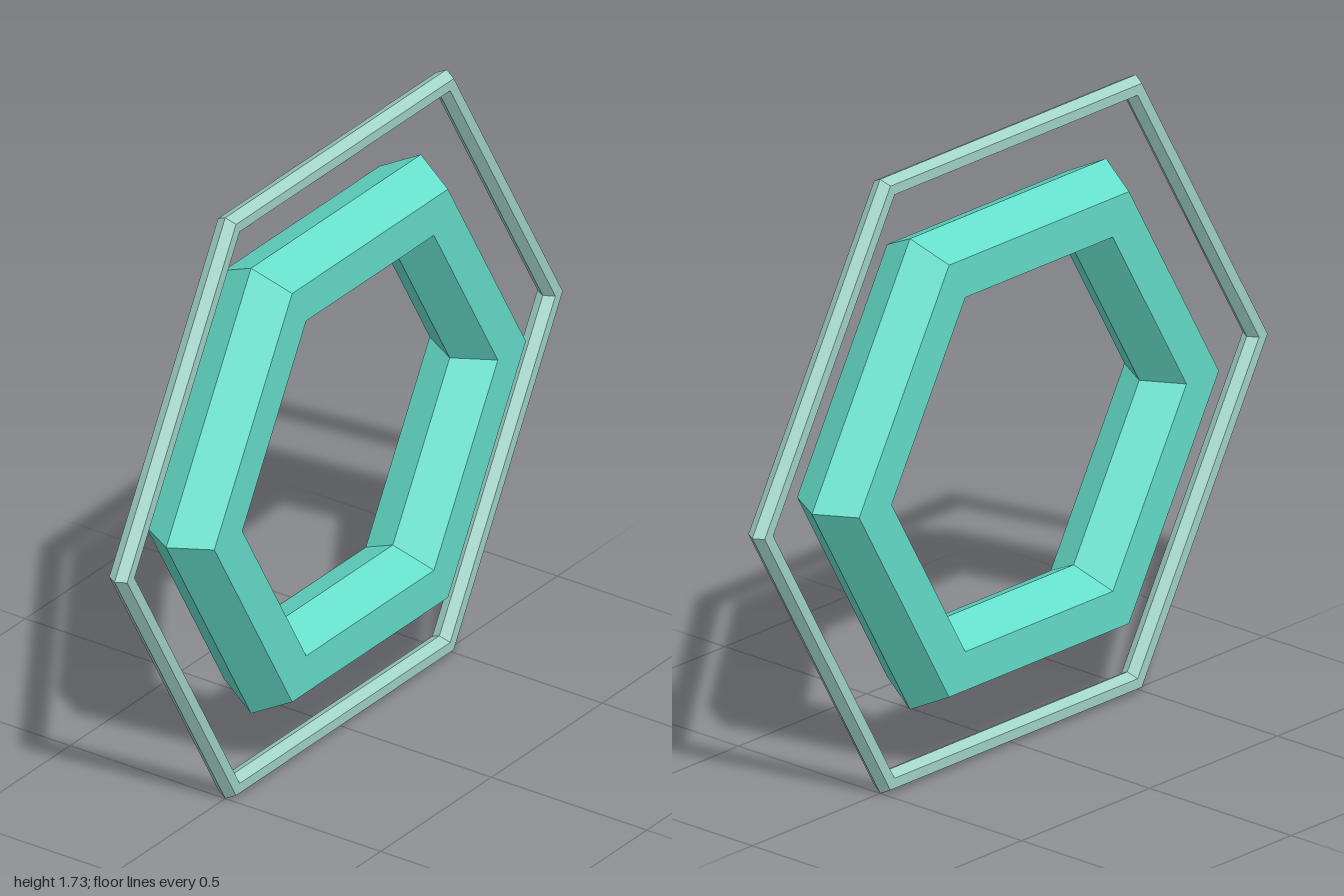
import * as THREE from 'three';

// Six-sided ring with a six-sided cross-section, standing upright on a flat side
function hexRing(name, radius, tube, color) {
  const geometry = new THREE.TorusGeometry(radius, tube, 6, 6);
  const material = new THREE.MeshStandardMaterial({ color, flatShading: true });
  const mesh = new THREE.Mesh(geometry, material);
  mesh.name = name;
  mesh.position.y = Math.sin(Math.PI / 3); // centre height of a unit hexagon
  return mesh;
}

export function createModel() {
  const model = new THREE.Group();
  model.name = 'hexagonalRings';
  // Thin pale frame around a thick turquoise ring
  model.add(hexRing('outerRing', 0.9667, 0.0333, 0xa3d5ca));
  model.add(hexRing('innerRing', 0.64, 0.1267, 0x66e0cc));
  return model;
}
